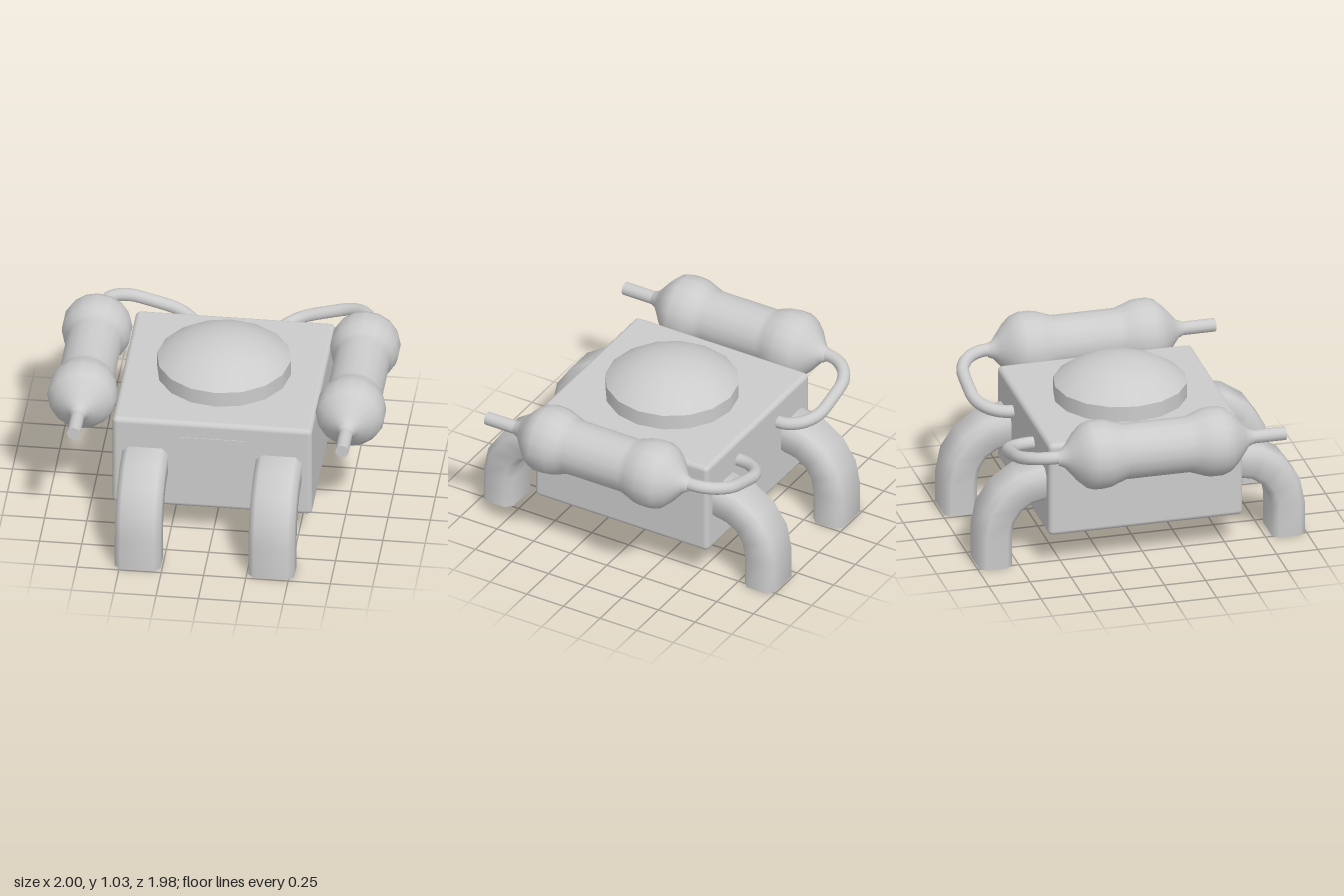
import * as THREE from 'three';
import { toCreasedNormals } from 'three/addons/utils/BufferGeometryUtils.js';
import { RoundedBoxGeometry } from 'three/addons/geometries/RoundedBoxGeometry.js';

const material = new THREE.MeshStandardMaterial({ color: 0xcccccc });

function add(parent, name, geometry, x = 0, y = 0, z = 0) {
  const mesh = new THREE.Mesh(geometry, material);
  mesh.name = name;
  mesh.position.set(x, y, z);
  parent.add(mesh);
  return mesh;
}

// Chamfered bar swept out of the body, round a quarter bend and down to the ground
function legGeometry() {
  const w = 0.135, t = 0.1, c = 0.035;
  const section = [
    [w, -t + c], [w, t - c], [w - c, t], [-w + c, t],
    [-w, t - c], [-w, -t + c], [-w + c, -t], [w - c, -t],
  ];
  const stations = [[0.5, 0.5, 0]]; // z, y, bend angle
  const bends = 4;
  for (let i = 0; i <= bends; i++) {
    const a = (i / bends) * Math.PI / 2;
    stations.push([0.59 + 0.3 * Math.sin(a), 0.2 + 0.3 * Math.cos(a), a]);
  }
  stations.push([0.89, 0, Math.PI / 2]);

  const positions = [], index = [], n = section.length;
  for (const [z, y, a] of stations) {
    for (const [u, v] of section) positions.push(u, y + v * Math.cos(a), z + v * Math.sin(a));
  }
  for (let i = 0; i < stations.length - 1; i++) {
    for (let j = 0; j < n; j++) {
      const k = (j + 1) % n, p = i * n, q = p + n;
      index.push(p + j, p + k, q + k, p + j, q + k, q + j);
    }
  }
  const foot = (stations.length - 1) * n;
  for (let j = 1; j < n - 1; j++) index.push(foot, foot + j, foot + j + 1);

  const geometry = new THREE.BufferGeometry();
  geometry.setAttribute('position', new THREE.Float32BufferAttribute(positions, 3));
  geometry.setIndex(index);
  return toCreasedNormals(geometry, 0.95);
}

// Double-bulbed pod, turned about the z axis
function podGeometry() {
  const half = [
    [0.165, 0.19], [0.18, 0.235], [0.2, 0.29], [0.205, 0.33], [0.205, 0.39],
    [0.19, 0.435], [0.15, 0.48], [0.09, 0.53], [0.055, 0.56], [0.04, 0.595],
  ];
  const profile = [
    ...half.slice().reverse().map(([r, h]) => new THREE.Vector2(r, -h)),
    ...half.map(([r, h]) => new THREE.Vector2(r, h)),
  ];
  return new THREE.LatheGeometry(profile, 16).rotateX(Math.PI / 2);
}

// Cable looping from the back of a pod into the back of the body
function cableGeometry(side) {
  const points = [], steps = 10;
  const push = (x, z) => points.push(
    new THREE.Vector3(side * x, 0.8 - 0.15 * (0.79 - x) / 0.56, z));
  push(0.79, -0.57);
  for (let i = 0; i <= steps; i++) {
    const a = (i / steps) * Math.PI / 2;
    push(0.59 + 0.2 * Math.cos(a), -0.59 - 0.2 * Math.sin(a));
  }
  for (let i = 0; i <= steps; i++) {
    const a = (i / steps) * Math.PI / 2;
    push(0.43 - 0.2 * Math.sin(a), -0.59 - 0.2 * Math.cos(a));
  }
  push(0.23, -0.56);
  return new THREE.TubeGeometry(new THREE.CatmullRomCurve3(points), 48, 0.038, 12);
}

export function createModel() {
  const model = new THREE.Group();
  model.name = 'walker';

  // Body and front panel
  add(model, 'body', new RoundedBoxGeometry(1.18, 0.59, 1.18, 3, 0.03), 0, 0.495, 0);
  add(model, 'frontPanel', new THREE.BoxGeometry(0.39, 0.39, 0.02), 0, 0.495, 0.584);

  // Domed turret: short drum with a shallow spherical cap
  const r = 0.395, rise = 0.145;
  const R = (r * r + rise * rise) / (2 * rise);
  add(model, 'turretBase', new THREE.CylinderGeometry(r, r, 0.115, 16, 1, true), 0, 0.8275, 0);
  add(model, 'turretDome',
    new THREE.SphereGeometry(R, 16, 8, 0, Math.PI * 2, 0, Math.asin(r / R)), 0, 0.885 + rise - R, 0);

  // Four legs
  const leg = legGeometry();
  for (const side of [1, -1]) {
    add(model, 'frontLeg', leg, side * 0.395, 0, 0);
    add(model, 'backLeg', leg, side * 0.395, 0, 0).rotation.y = Math.PI;
  }

  // Side pods with barrels in front and cables behind
  const pod = podGeometry();
  const barrel = new THREE.CylinderGeometry(0.04, 0.04, 0.24, 12).rotateX(Math.PI / 2);
  for (const side of [1, -1]) {
    const group = new THREE.Group();
    group.name = side > 0 ? 'leftPod' : 'rightPod';
    add(group, 'podShell', pod, side * 0.793, 0.795, 0);
    add(group, 'barrel', barrel, side * 0.793, 0.795, 0.67);
    add(group, 'cable', cableGeometry(side));
    model.add(group);
  }
  return model;
}
